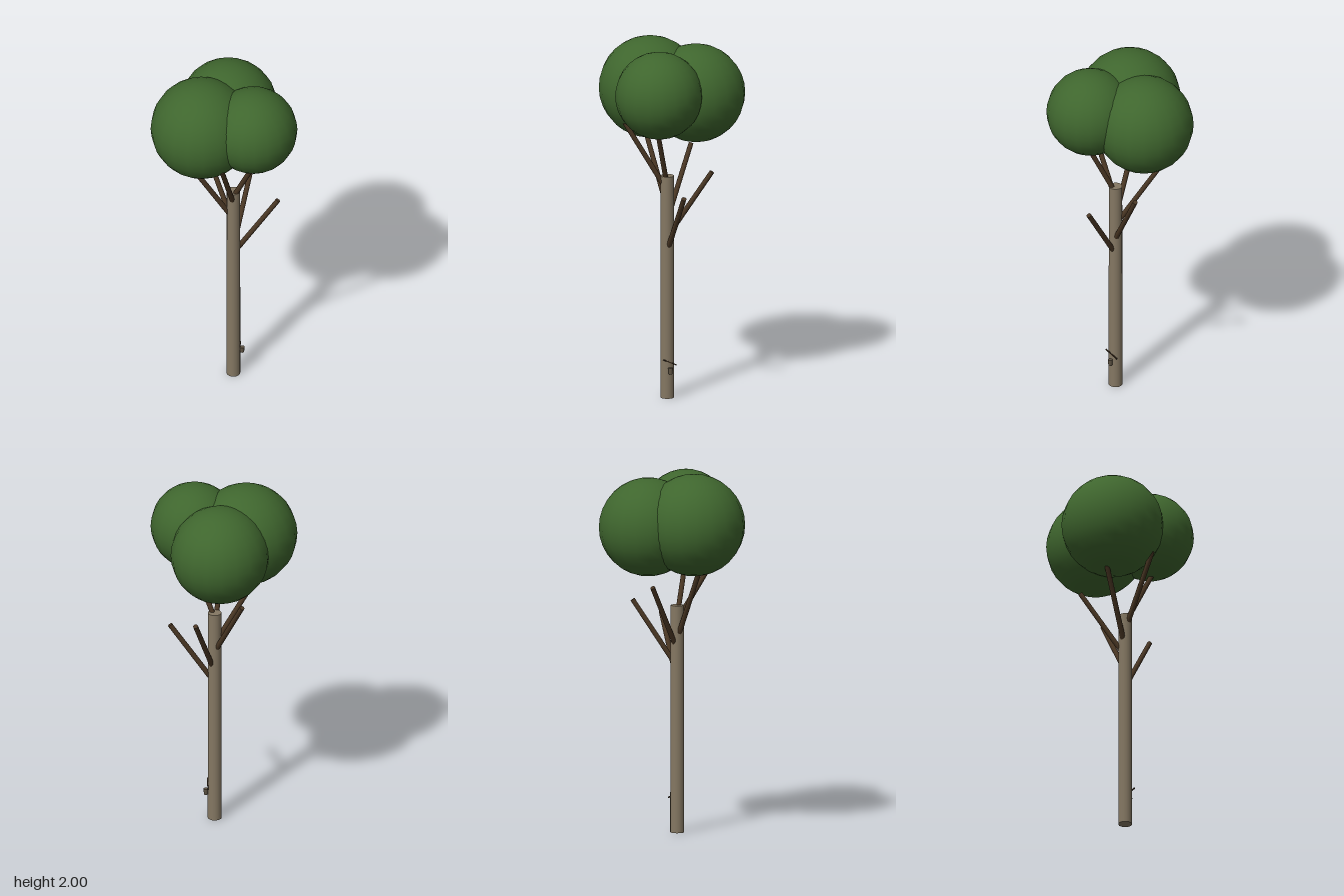
import * as THREE from 'three';

const mat = (name, color) => {
  const m = new THREE.MeshStandardMaterial({ color });
  m.name = name;
  return m;
};

export function createModel() {
  const tree = new THREE.Group();
  tree.name = 'tree';
  const bark = mat('bark', 0x857863);
  const branchWood = mat('branchWood', 0x4a3724);
  const leaf = mat('leaf', 0x3f662e);
  const cutWood = mat('cutWood', 0x3a2c1e);
  const cupClay = mat('cupClay', 0x5f5444);

  const add = (name, geometry, material, x, y, z) => {
    const mesh = new THREE.Mesh(geometry, material);
    mesh.name = name;
    mesh.position.set(x, y, z);
    tree.add(mesh);
    return mesh;
  };

  // Straight trunk
  add('trunk', new THREE.CylinderGeometry(0.037, 0.038, 1.255, 16), bark, 0.053, 0.6275, 0.058);

  // Branches: base point to tip point
  const up = new THREE.Vector3(0, 1, 0);
  [
    [[0.065, 0.845, 0.058], [0.297, 1.185, 0.058]],
    [[0.065, 0.93, 0.05], [0.165, 1.283, -0.16]],
    [[0.045, 1.04, 0.042], [-0.09, 1.382, -0.14]],
    [[0.035, 1.095, 0.06], [-0.23, 1.54, 0.1]],
    [[0.05, 1.19, 0.07], [-0.016, 1.56, 0.28]],
    [[0.05, 1.21, 0.06], [0.185, 1.56, 0.17]],
  ].forEach(([a, b], i) => {
    const base = new THREE.Vector3(...a);
    const dir = new THREE.Vector3(...b).sub(base);
    const length = dir.length();
    const mid = base.addScaledVector(dir, 0.5);
    const branch = add(`branch${i + 1}`, new THREE.CylinderGeometry(0.0135, 0.0145, length, 10),
      branchWood, mid.x, mid.y, mid.z);
    branch.quaternion.setFromUnitVectors(up, dir.normalize());
  });

  // Three overlapping leaf balls
  [
    [0.28, -0.12, 1.72, 0.09],
    [0.24, 0.16, 1.745, 0.15],
    [0.27, 0.03, 1.70, -0.12],
  ].forEach(([r, x, y, z], i) => {
    add(`foliage${i + 1}`, new THREE.SphereGeometry(r, 20, 16), leaf, x, y, z);
  });

  // Slanted tapping cut and the small collecting cup under it
  const cut = add('tappingCut', new THREE.BoxGeometry(0.006, 0.006, 0.083), cutWood, 0.091, 0.206, 0.058);
  cut.rotation.x = -0.44;
  add('cup', new THREE.CylinderGeometry(0.013, 0.011, 0.033, 12), cupClay, 0.101, 0.16, 0.058);

  return tree;
}
